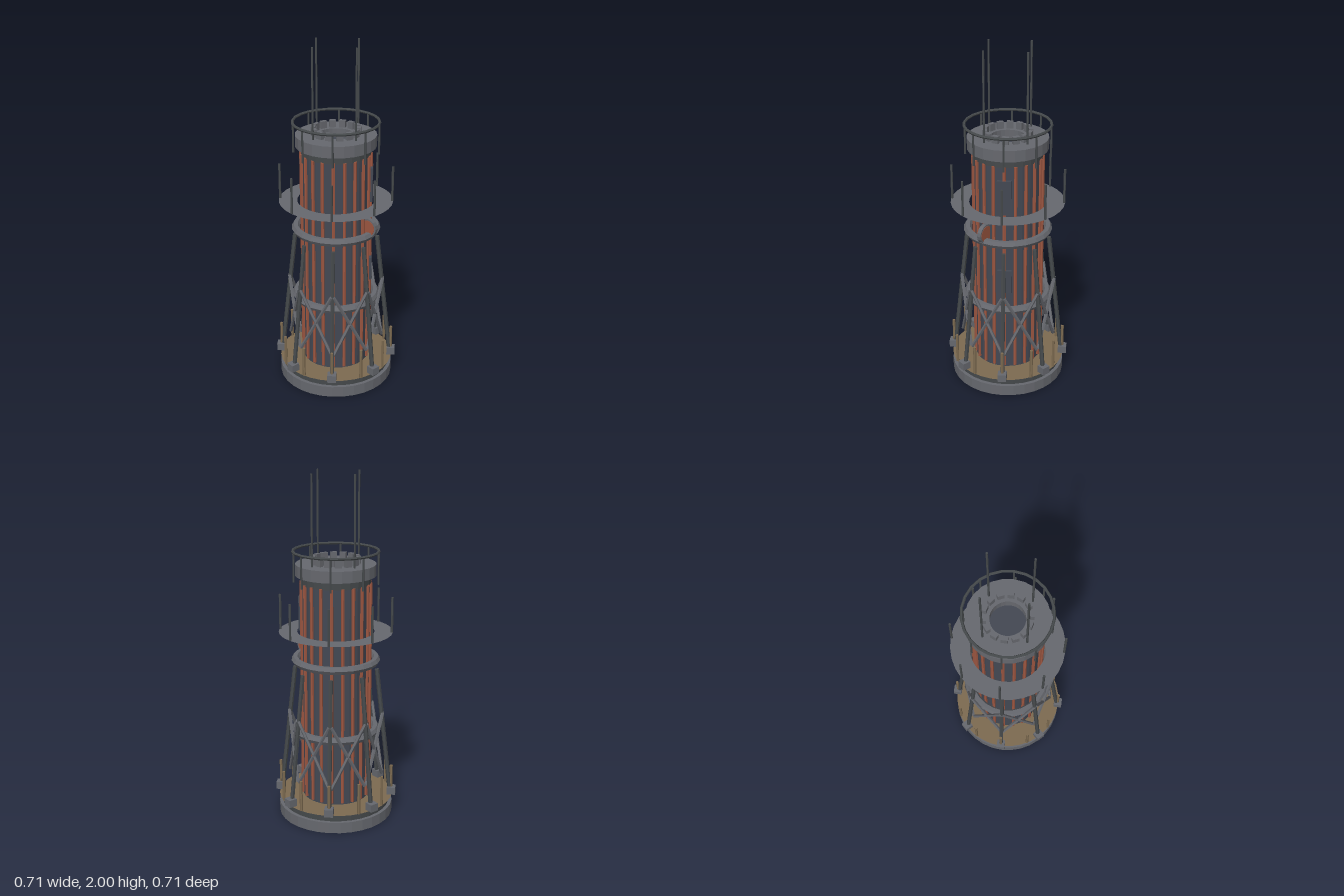
import * as THREE from 'three';

const mat = (color, flat = true) => new THREE.MeshStandardMaterial({ color, flatShading: flat, side: THREE.DoubleSide });

export function createModel() {
  const root = new THREE.Group();
  const steel = mat(0x66686e), dark = mat(0x45494b), slate = mat(0x434853);
  const copper = mat(0x9a5540), tan = mat(0x7c6a50);

  const add = (name, geometry, material, x = 0, y = 0, z = 0, parent = root) => {
    const mesh = new THREE.Mesh(geometry, material);
    mesh.name = name;
    mesh.position.set(x, y, z);
    parent.add(mesh);
    return mesh;
  };
  // Vertical cylinder given by its bottom and top heights
  const drum = (name, r, y0, y1, material, sides = 24, x = 0, z = 0, parent = root) =>
    add(name, new THREE.CylinderGeometry(r, r, y1 - y0, sides), material, x, (y0 + y1) / 2, z, parent);
  // Flat horizontal annulus
  const deck = (name, inner, outer, y, material) =>
    add(name, new THREE.RingGeometry(inner, outer, 32).rotateX(-Math.PI / 2), material, 0, y);
  const hoop = (name, r, tube, y, material, sides = 6) =>
    add(name, new THREE.TorusGeometry(r, tube, sides, 24).rotateX(Math.PI / 2), material, 0, y);
  // Straight strut between two points
  const strut = (name, a, b, r, sides, material, parent) => {
    const mesh = add(name, new THREE.CylinderGeometry(r, r, a.distanceTo(b), sides), material, 0, 0, 0, parent);
    mesh.position.copy(a).lerp(b, 0.5);
    mesh.quaternion.setFromUnitVectors(new THREE.Vector3(0, 1, 0), b.clone().sub(a).normalize());
  };
  // Repeat a part around the axis; each copy is built facing +z
  const around = (name, count, build, offset = 0) => {
    const group = new THREE.Group();
    group.name = name;
    for (let i = 0; i < count; i++) {
      const arm = new THREE.Group();
      arm.name = name + 'Unit';
      arm.rotation.y = ((i + offset) / count) * Math.PI * 2;
      build(arm);
      group.add(arm);
    }
    root.add(group);
  };
  const v = (x, y, z) => new THREE.Vector3(x, y, z);

  // Stepped base with its walkway
  drum('base', 0.335, 0, 0.065, steel, 32);
  drum('baseStep', 0.315, 0.065, 0.105, dark, 32);
  deck('baseWalkway', 0.19, 0.335, 0.108, tan);
  around('basePosts', 12, g => drum('basePost', 0.009, 0.108, 0.29, tan, 6, 0, 0.33, g));

  // Tower body, pipes and side panels
  drum('towerBody', 0.193, 0.1, 1.43, slate, 24);
  around('pipes', 20, g => drum('pipe', 0.01, 0.12, 1.39, copper, 6, 0, 0.196, g));
  for (const [y, h] of [[1.21, 0.2], [0.69, 0.14]])
    add('sidePanel', new THREE.BoxGeometry(0.03, h, 0.08), slate, 0.193, y, 0);

  // Support frame: feet, leaning legs and crossed braces
  around('supportLegs', 8, g => {
    add('foot', new THREE.BoxGeometry(0.05, 0.045, 0.05), steel, 0, 0.132, 0.332, g);
    strut('leg', v(0, 0.14, 0.322), v(0, 0.885, 0.237), 0.013, 6, dark, g);
  });
  around('crossBraces', 8, g => {
    for (const s of [-1, 1])
      strut('brace', v(-0.1 * s, 0.24, 0.255), v(0.1 * s, 0.62, 0.255), 0.01, 5, steel, g);
  }, 0.5);
  hoop('lowerHoop', 0.232, 0.023, 0.52, steel);
  hoop('upperHoop', 0.232, 0.023, 0.94, steel);

  // Valve wheel standing on the upper hoop
  const valve = new THREE.Group();
  valve.name = 'valve';
  valve.position.set(0.19, 0.985, 0.11);
  valve.rotation.y = Math.PI / 3;
  const disc = (name, r, w, m) =>
    add(name, new THREE.CylinderGeometry(r, r, w, 16).rotateZ(Math.PI / 2), m, 0, 0, 0, valve);
  disc('valveRim', 0.055, 0.024, steel);
  disc('valveFace', 0.046, 0.028, copper);
  root.add(valve);

  // Thin upper platform with posts
  deck('platform', 0.22, 0.325, 1.105, steel);
  around('platformPosts', 8, g => drum('platformPost', 0.007, 1.105, 1.31, dark, 6, 0, 0.319, g));

  // Collar and open cap
  drum('collar', 0.197, 1.385, 1.43, dark, 24);
  const cap = [[0.097, 1.44], [0.228, 1.43], [0.228, 1.495], [0.097, 1.495], [0.097, 1.44]];
  add('cap', new THREE.LatheGeometry(cap.map(p => new THREE.Vector2(...p)), 24), steel);
  drum('capFloor', 0.1, 1.43, 1.445, slate, 24);
  around('capTeeth', 14, g =>
    add('tooth', new THREE.BoxGeometry(0.037, 0.042, 0.023), steel, 0, 1.515, 0.127, g), 0.5);

  // Top guard rail and its hangers
  hoop('guardRail', 0.241, 0.008, 1.565, dark);
  around('railHangers', 8, g => drum('railHanger', 0.006, 1.38, 1.565, dark, 6, 0, 0.239, g));

  // Corner masts
  for (const x of [-0.117, 0.117])
    for (const z of [-0.117, 0.117]) drum('mast', 0.006, 1.49, 2, dark, 6, x, z);

  return root;
}
